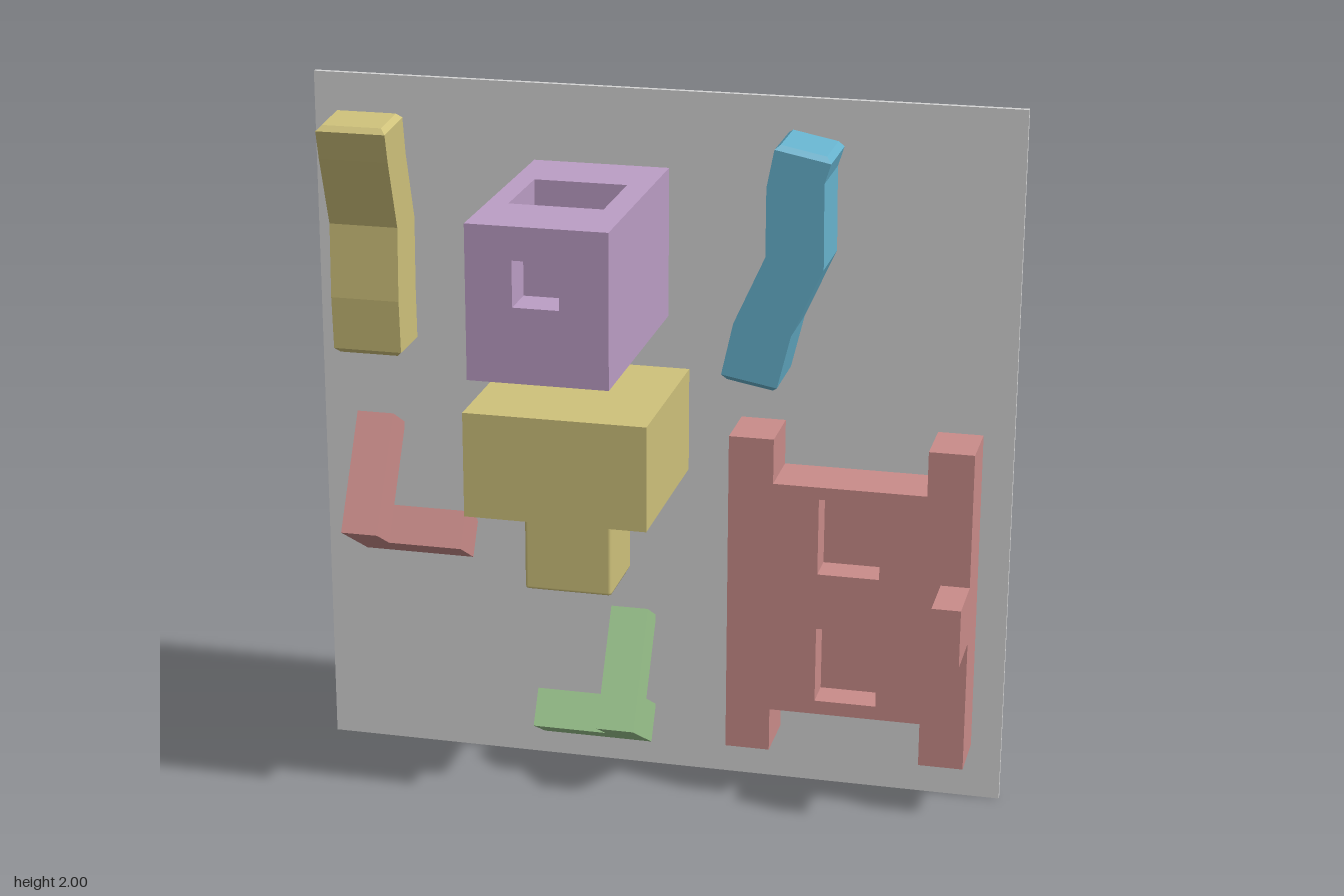
import * as THREE from 'three';
import { RoundedBoxGeometry } from 'three/addons/geometries/RoundedBoxGeometry.js';

const BACK = -0.33; // front surface of the board

const mat = (name, color) => {
  const m = new THREE.MeshStandardMaterial({ color });
  m.name = name;
  return m;
};

function add(parent, name, geometry, material) {
  const mesh = new THREE.Mesh(geometry, material);
  mesh.name = name;
  parent.add(mesh);
  return mesh;
}

// Box from minimum and maximum corners
function box(x0, x1, y0, y1, z0, z1) {
  return new THREE.BoxGeometry(x1 - x0, y1 - y0, z1 - z0)
    .translate((x0 + x1) / 2, (y0 + y1) / 2, (z0 + z1) / 2);
}

const rect = (x0, x1, y0, y1) =>
  [[x0, y0], [x1, y0], [x1, y1], [x0, y1]].map(p => new THREE.Vector2(...p));

// Flat plate with rectangular openings, extruded along z
function plate(outline, holes, depth) {
  const shape = new THREE.Shape(outline);
  holes.forEach(h => shape.holes.push(new THREE.Path(rect(...h).reverse())));
  return new THREE.ExtrudeGeometry(shape, { depth, bevelEnabled: false });
}

// Bent bar lofted through rectangular rings: [left, leftY, right, rightY], bottom to top
function bentBar(stations, halfWidth) {
  const b = 0.014;
  const inset = ([l, ly, r, ry], amount) => {
    const t = amount / (r - l);
    return [l + amount, ly + (ry - ly) * t, r - amount, ry - (ry - ly) * t, halfWidth - amount];
  };
  const shift = (s, dy) => [s[0], s[1] + dy, s[2], s[3] + dy];
  const first = stations[0], last = stations.at(-1);
  const rings = [
    inset(first, b), inset(shift(first, b), 0),
    ...stations.slice(1, -1).map(s => inset(s, 0)),
    inset(shift(last, -b), 0), inset(last, b),
  ];
  const pos = [], idx = [];
  rings.forEach(([l, ly, r, ry, w], i) => {
    pos.push(l, ly, -w, l, ly, w, r, ry, w, r, ry, -w);
    if (i === rings.length - 1) return;
    for (let j = 0; j < 4; j++) {
      const a = i * 4 + j, c = i * 4 + (j + 1) % 4;
      idx.push(a, c, c + 4, a, c + 4, a + 4);
    }
  });
  const t = (rings.length - 1) * 4;
  idx.push(0, 2, 1, 0, 3, 2, t, t + 1, t + 2, t, t + 2, t + 3);
  const g = new THREE.BufferGeometry();
  g.setAttribute('position', new THREE.Float32BufferAttribute(pos, 3));
  g.setIndex(idx);
  const flat = g.toNonIndexed();
  flat.computeVertexNormals();
  return flat;
}

// Three-armed corner piece, leaning back against the board; side is the arm direction
function cornerPiece(name, material, x, y, side) {
  const group = new THREE.Group();
  group.name = name;
  const h = 0.053;
  add(group, 'column', box(-h, h, 0, 0.352, -0.122, 0), material);
  add(group, 'foot', box(-h, h, 0, 0.11, -0.26, -0.122), material);
  const arm = side > 0 ? [h, h + 0.213] : [-h - 0.213, -h];
  add(group, 'sideArm', box(...arm, 0, 0.11, -0.26, -0.12), material);
  group.position.set(x, y, -0.055);
  group.rotation.x = -Math.PI / 6;
  return group;
}

export function createModel() {
  const model = new THREE.Group();
  model.name = 'shapeBoard';
  const grey = mat('board grey', 0xd6d6d6);
  const red = mat('soft red', 0xca8c8a);
  const olive = mat('olive yellow', 0xcfc27b);
  const purple = mat('soft purple', 0xbc9ec5);
  const blue = mat('soft blue', 0x67b3ce);
  const green = mat('soft green', 0x9cc68e);

  add(model, 'board', box(-0.99, 0.99, 0, 2, -0.345, BACK), grey);

  // Purple block with a pocket in its top and another in its front
  const block = new THREE.Group();
  block.name = 'pocketBlock';
  model.add(block);
  const [x0, x1, y0, y1, z1] = [-0.36, 0.02, 1.365, 1.785, 0.345];
  const topDepth = 0.12, frontDepth = 0.11, split = z1 - frontDepth;
  add(block, 'blockBase', box(x0, x1, y0, y1 - topDepth, BACK, split), purple);
  add(block, 'blockTop',
    plate(rect(x0, x1, -split, -BACK), [[-0.303, -0.047, -0.13, 0.125]], topDepth)
      .rotateX(-Math.PI / 2).translate(0, y1 - topDepth, 0), purple);
  add(block, 'blockFront',
    plate(rect(x0, x1, y0, y1), [[-0.235, -0.11, 1.57, 1.695]], frontDepth)
      .translate(0, 0, split), purple);

  // Olive block with a stem beneath
  const stemmed = new THREE.Group();
  stemmed.name = 'stemmedBlock';
  model.add(stemmed);
  add(stemmed, 'stemmedBlockTop', box(-0.425, 0.08, 0.92, 1.215, BACK, 0.18), olive);
  add(stemmed, 'stem',
    new RoundedBoxGeometry(0.245, 0.3, 0.225, 1, 0.01).translate(-0.173, 0.818, -0.067), olive);

  // Notched red panel with two recesses and a knob
  const panel = new THREE.Group();
  panel.name = 'notchedPanel';
  model.add(panel);
  const outline = [
    [0.23, 0.16], [0.355, 0.16], [0.355, 0.285], [0.78, 0.285], [0.78, 0.16], [0.905, 0.16],
    [0.905, 1.088], [0.78, 1.088], [0.78, 0.96], [0.355, 0.96], [0.355, 1.088], [0.23, 1.088],
  ].map(p => new THREE.Vector2(...p));
  const recesses = [[0.483, 0.655, 0.705, 0.925], [0.483, 0.655, 0.325, 0.543]];
  add(panel, 'panelBack', plate(outline, [], 0.075).translate(0, 0, BACK), red);
  add(panel, 'panelFront', plate(outline, recesses, 0.095).translate(0, 0, BACK + 0.075), red);
  add(panel, 'knob', box(0.825, 0.905, 0.54, 0.705, -0.16, 0.01), red);

  // Bent bars, one curving sideways and one curving forwards
  add(model, 'blueBar', bentBar([
    [0.213, 1.26, 0.367, 1.232], [0.245, 1.42, 0.403, 1.395],
    [0.33, 1.61, 0.488, 1.585], [0.33, 1.8, 0.485, 1.82], [0.35, 1.918, 0.502, 1.888],
  ], 0.1).translate(0, 0, -0.228), blue);
  add(model, 'oliveBar', bentBar([
    [-0.33, 1.235, -0.178, 1.235], [-0.325, 1.4, -0.168, 1.4],
    [-0.33, 1.6, -0.175, 1.61], [-0.265, 1.8, -0.107, 1.81], [-0.245, 1.918, -0.086, 1.905],
  ], 0.098).rotateY(-Math.PI / 2).translate(-0.807, 0, 0), olive);

  // Leaning corner pieces, mirrored
  model.add(cornerPiece('redCornerPiece', red, -0.807, 0.745, 1));
  model.add(cornerPiece('greenCornerPiece', green, -0.067, 0.22, -1));
  return model;
}
